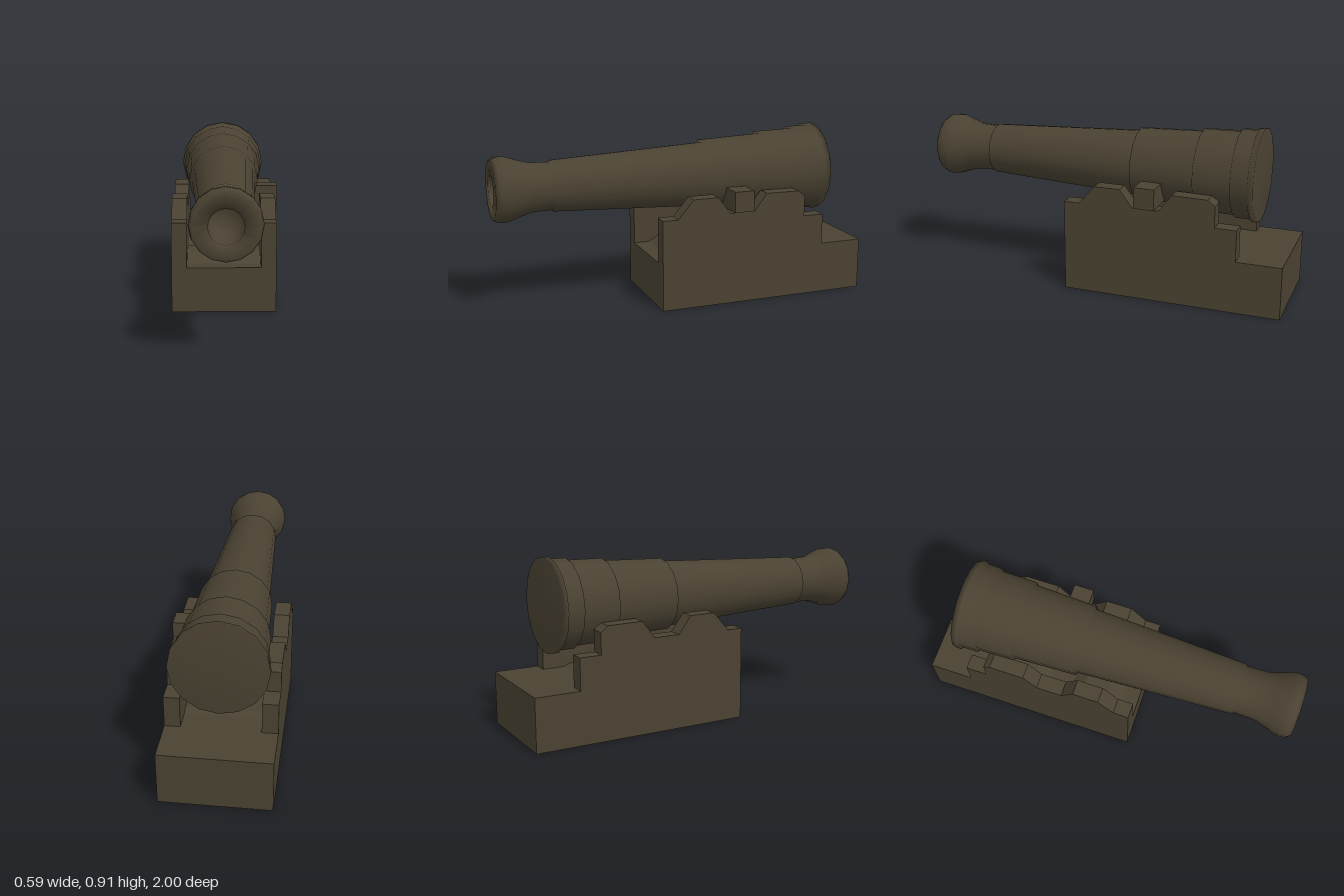
import * as THREE from 'three';

const AXIS_X = -0.0125, AXIS_Y = 0.663;

// Extrudes a (z, y) side profile across x from x0 to x1
function sidePlate(name, profile, x0, x1, material) {
  const shape = new THREE.Shape(profile.map(([z, y]) => new THREE.Vector2(-z, y)));
  const geo = new THREE.ExtrudeGeometry(shape, { depth: x1 - x0, bevelEnabled: false });
  geo.rotateY(Math.PI / 2);
  geo.translate(x0, 0, 0);
  const mesh = new THREE.Mesh(geo, material);
  mesh.name = name;
  return mesh;
}

export function createModel() {
  const model = new THREE.Group();
  model.name = 'cannon';
  const iron = new THREE.MeshStandardMaterial({ color: 0x4a4232 });
  iron.name = 'dark bronze';

  // Barrel: turned profile of (radius, z), from breech to muzzle and into the bore
  const profile = [
    [0, -0.825], [0.245, -0.825], [0.245, -0.795], [0.234, -0.79],
    [0.233, -0.705], [0.221, -0.7], [0.217, -0.505], [0.204, -0.5],
    [0.191, -0.16], [0.176, -0.155], [0.136, 0.685], [0.127, 0.69],
    [0.131, 0.8], [0.147, 0.86], [0.17, 0.925], [0.172, 0.955],
    [0.168, 0.98], [0.155, 1], [0.083, 1], [0.083, 0.75], [0, 0.75],
  ].map(([r, z]) => new THREE.Vector2(r, z));
  const barrelGeo = new THREE.LatheGeometry(profile, 16);
  barrelGeo.rotateX(Math.PI / 2);
  const barrel = new THREE.Mesh(barrelGeo, iron);
  barrel.name = 'barrel';
  barrel.position.set(AXIS_X, AXIS_Y, 0);
  model.add(barrel);

  // Single square trunnion on the left side
  const trunnion = new THREE.Mesh(new THREE.BoxGeometry(0.183, 0.112, 0.11), iron);
  trunnion.name = 'trunnion';
  trunnion.position.set(0.2015, 0.563, -0.28);
  model.add(trunnion);

  // Stepped cheeks of the carriage
  const cheek = [
    [0.17, 0], [0.17, 0.492], [0.085, 0.492], [0, 0.592], [-0.14, 0.592],
    [-0.21, 0.5], [-0.35, 0.5], [-0.42, 0.592], [-0.61, 0.59], [-0.648, 0.56],
    [-0.648, 0.447], [-0.762, 0.447], [-0.762, 0.28], [-1, 0.28], [-1, 0],
  ];
  model.add(sidePlate('rightCheek', cheek, -0.295, -0.213, iron));
  model.add(sidePlate('leftCheek', cheek, 0.187, 0.268, iron));

  // Bed between the cheeks
  const bed = [
    [0.17, 0], [0.17, 0.246], [0.085, 0.246], [0, 0.295], [-0.14, 0.295],
    [-0.21, 0.25], [-0.35, 0.25], [-0.42, 0.295], [-0.61, 0.295],
    [-0.648, 0.28], [-1, 0.28], [-1, 0],
  ];
  model.add(sidePlate('carriageBed', bed, -0.213, 0.187, iron));

  return model;
}
